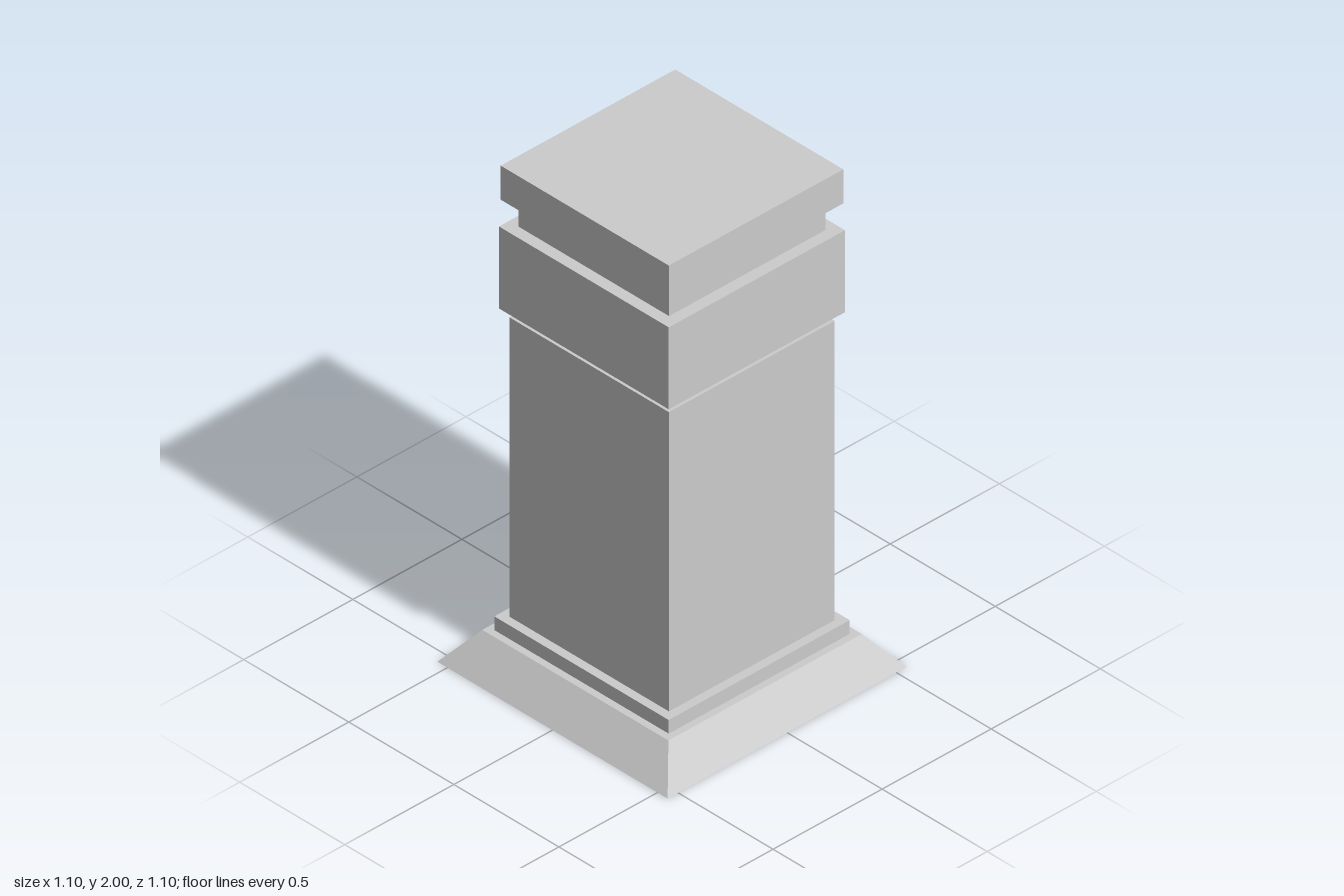
import * as THREE from 'three';

const material = new THREE.MeshStandardMaterial({
  color: 0xcccccc, flatShading: true, side: THREE.DoubleSide,
});

// Square shell swept from a profile of [half width, height] points, bottom to top
function squareShell(name, profile) {
  const points = profile.map(([half, y]) => new THREE.Vector2(half * Math.SQRT2, y));
  const geometry = new THREE.LatheGeometry(points, 4, Math.PI / 4).toNonIndexed();
  geometry.computeVertexNormals();
  const mesh = new THREE.Mesh(geometry, material);
  mesh.name = name;
  return mesh;
}

export function createModel() {
  const pillar = new THREE.Group();
  pillar.name = 'squarePillar';

  // Hollow, open-bottomed pillar: each part begins where the one below ends
  const parts = {
    slopedBase: [[0.548, 0], [0.443, 0.13], [0.415, 0.13]],
    plinthStep: [[0.415, 0.13], [0.415, 0.185], [0.38, 0.185]],
    shaft: [[0.38, 0.185], [0.38, 1.39], [0.335, 1.39]],
    collar: [[0.335, 1.39], [0.404, 1.425], [0.404, 1.755], [0.358, 1.755]],
    neck: [[0.358, 1.755], [0.358, 1.838], [0.305, 1.838]],
    cap: [[0.305, 1.838], [0.4, 1.863], [0.4, 2], [0, 2]],
  };
  for (const [name, profile] of Object.entries(parts)) {
    pillar.add(squareShell(name, profile));
  }
  return pillar;
}
